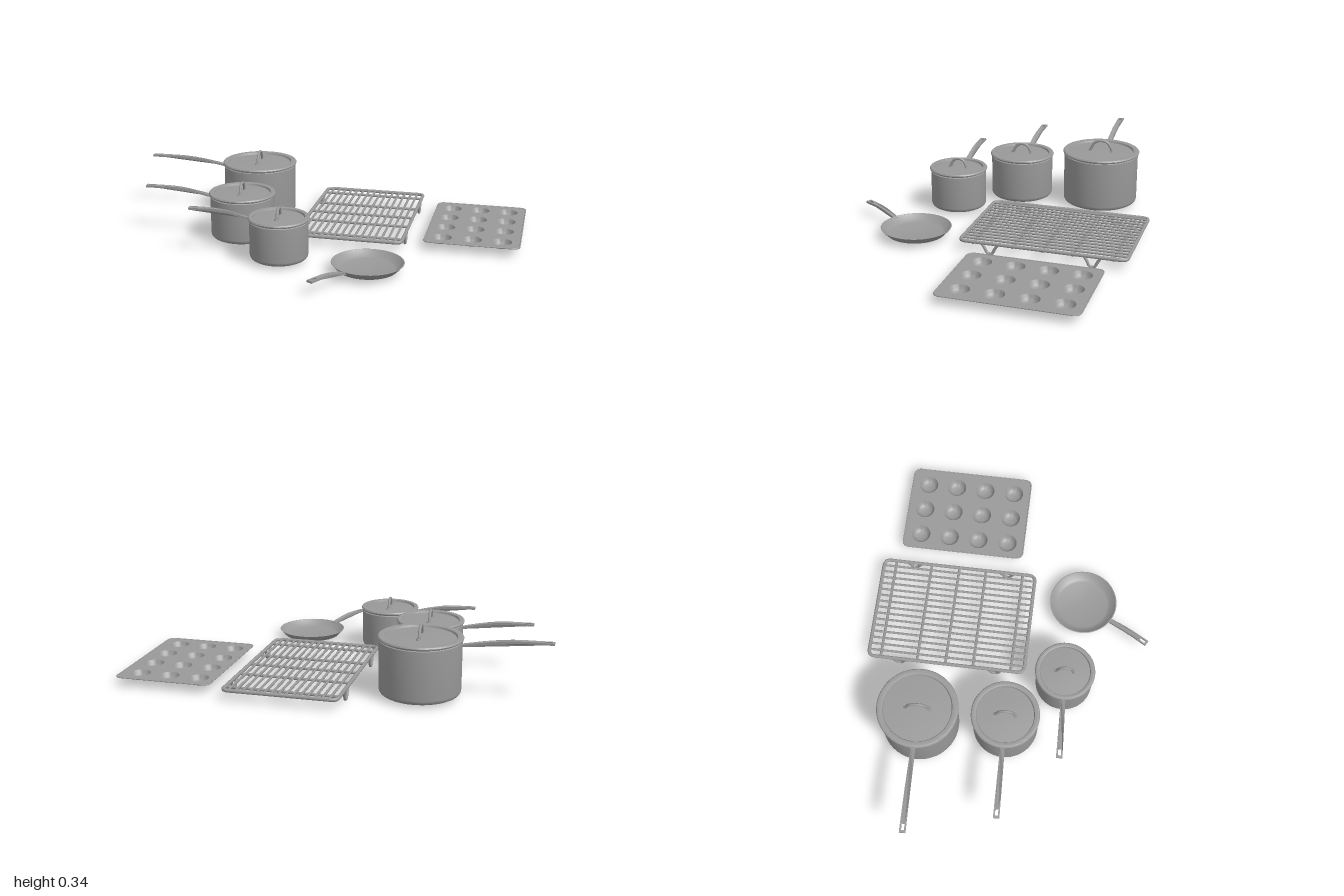
import * as THREE from 'three';
import { toCreasedNormals } from 'three/addons/utils/BufferGeometryUtils.js';

const steel = new THREE.MeshStandardMaterial({ color: 0x999999, side: THREE.DoubleSide });
steel.name = 'brushed steel';

function add(parent, geometry, name) {
  const mesh = new THREE.Mesh(geometry, steel);
  mesh.name = name;
  parent.add(mesh);
  return mesh;
}

// Turned part from [radius, height] pairs, with crisp edges kept
function lathe(points, segments = 48) {
  const g = new THREE.LatheGeometry(points.map(([r, y]) => new THREE.Vector2(r, y)), segments);
  return toCreasedNormals(g, 0.6);
}

function roundedRect(x0, z0, x1, z1, r) {
  const s = new THREE.Shape();
  s.moveTo(x0 + r, z0);
  s.lineTo(x1 - r, z0);
  s.absarc(x1 - r, z0 + r, r, -Math.PI / 2, 0);
  s.lineTo(x1, z1 - r);
  s.absarc(x1 - r, z1 - r, r, 0, Math.PI / 2);
  s.lineTo(x0 + r, z1);
  s.absarc(x0 + r, z1 - r, r, Math.PI / 2, Math.PI);
  s.lineTo(x0, z0 + r);
  s.absarc(x0 + r, z0 + r, r, Math.PI, Math.PI * 1.5);
  return s;
}

// Closed wire following a rounded rectangle at height y
function wireLoop(shape, y, radius) {
  const pts = shape.getSpacedPoints(120).slice(0, -1).map(p => new THREE.Vector3(p.x, y, p.y));
  return new THREE.TubeGeometry(new THREE.CatmullRomCurve3(pts, true), 160, radius, 8, true);
}

// Flat strap handle with a hanging hole, bent upwards along its length
function strapHandle(length, rise, dirX, dirZ) {
  const n = 16, half = t => 0.011 + 0.004 * t;
  const shape = new THREE.Shape();
  shape.moveTo(0, -half(0));
  for (let i = 1; i <= n; i++) shape.lineTo(length * i / n, -half(i / n));
  for (let i = n; i >= 0; i--) shape.lineTo(length * i / n, half(i / n));
  const hole = new THREE.Path();
  const a = length - 0.042, b = length - 0.012;
  hole.moveTo(a, -0.007);
  hole.lineTo(a, 0.007);
  hole.lineTo(b, 0.007);
  hole.lineTo(b, -0.007);
  hole.closePath();
  shape.holes.push(hole);
  const g = new THREE.ExtrudeGeometry(shape, { depth: 0.01, bevelEnabled: false });
  g.rotateX(-Math.PI / 2);
  const p = g.attributes.position;
  for (let i = 0; i < p.count; i++) {
    const t = Math.min(1, p.getX(i) / (length * 0.7));
    p.setY(i, p.getY(i) + rise * Math.sin(t * Math.PI / 2));
  }
  g.computeVertexNormals();
  g.rotateY(Math.atan2(-dirZ, dirX));
  return g;
}

// Lidded saucepan: body, lid with recessed centre, arched grip, long handle
function saucepan({ name, x, z, r, top, tipX, tipZ, tipY }) {
  const pot = new THREE.Group();
  pot.name = name;
  pot.position.set(x, 0, z);
  const b = 0.013, c = 0.022;
  const body = [[0, b], [r - c, b]];
  for (let i = 1; i <= 5; i++) {
    const a = i / 5 * Math.PI / 2;
    body.push([r - 0.005 - c + c * Math.sin(a), b + c - c * Math.cos(a)]);
  }
  body.push([r - 0.005, top - 0.022], [r - 0.012, top - 0.018]);
  add(pot, lathe(body), 'potBody');

  const seat = top - 0.012;
  add(pot, lathe([
    [r - 0.012, top - 0.02], [r, top - 0.014], [r + 0.002, top - 0.008], [r - 0.002, top - 0.002],
    [r - 0.01, top], [r * 0.86, top - 0.003], [r * 0.84, seat],
    [r * 0.5, seat + 0.003], [0, seat + 0.005],
  ]), 'lid');

  // Arched lid grip running front to back
  const w = r * 0.3, h = 0.025 + r * 0.17;
  const pts = [[-w, 0], [-w * 0.85, 0.4], [-w * 0.5, 0.88], [0, 1], [w * 0.5, 0.88], [w * 0.85, 0.4], [w, 0]]
    .map(([q, k]) => new THREE.Vector3(0, seat + k * h, q));
  const grip = new THREE.TubeGeometry(new THREE.CatmullRomCurve3(pts), 28, 0.007, 8);
  add(pot, grip, 'lidGrip').rotation.y = 0.06;
  for (const s of [-1, 1]) {
    const foot = add(pot, new THREE.CylinderGeometry(0.009, 0.011, 0.008, 12), 'gripFoot');
    foot.position.set(0, seat + 0.006, s * w);
  }

  const dx = tipX - x, dz = tipZ - z, d = Math.hypot(dx, dz), start = r - 0.012;
  const rise = 0.035;
  const handle = add(pot, strapHandle(d - start, rise, dx, dz), 'potHandle');
  handle.position.set(dx / d * start, tipY - rise - 0.005, dz / d * start);
  return pot;
}

function fryingPan() {
  const pan = new THREE.Group();
  pan.name = 'fryingPan';
  const x = 0.325, z = 0.355, dx = -0.195, dz = 0.34, d = Math.hypot(dx, dz);
  pan.position.set(x, 0, z);
  add(pan, lathe([
    [0, 0.014], [0.128, 0.014], [0.139, 0.018], [0.165, 0.044], [0.171, 0.051],
    [0.167, 0.052], [0.16, 0.045], [0.136, 0.023], [0.126, 0.02], [0, 0.02],
  ]), 'panBody');
  const handle = add(pan, strapHandle(d - 0.16, 0.027, dx, dz), 'panHandle');
  handle.position.set(dx / d * 0.16, 0.037, dz / d * 0.16);
  return pan;
}

function coolingRack() {
  const rack = new THREE.Group();
  rack.name = 'coolingRack';
  const x0 = -0.097, x1 = 0.437, z0 = -0.697, z1 = 0.093, y = 0.057;
  add(rack, wireLoop(roundedRect(x0, z0, x1, z1, 0.025), y, 0.009), 'rackFrame');

  // Long wires
  const count = 16;
  for (let i = 1; i < count; i++) {
    const wire = add(rack, new THREE.CylinderGeometry(0.006, 0.006, z1 - z0, 8).rotateX(Math.PI / 2), 'longWire');
    wire.position.set(x0 + (x1 - x0) * i / count, y + 0.004, (z0 + z1) / 2);
  }
  // Cross bars beneath them
  for (const z of [-0.635, -0.45, -0.305, -0.165, 0.027]) {
    const bar = add(rack, new THREE.CylinderGeometry(0.007, 0.007, x1 - x0, 8).rotateZ(Math.PI / 2), 'crossBar');
    bar.position.set((x0 + x1) / 2, y - 0.006, z);
  }
  // Bent wire feet on both long sides
  for (const x of [x0, x1]) for (const z of [-0.54, -0.055]) {
    const pts = [[-0.04, y], [-0.026, 0.035], [-0.012, 0.01], [0, 0.007], [0.012, 0.01], [0.026, 0.035], [0.04, y]]
      .map(([q, h]) => new THREE.Vector3(x, h, z + q));
    add(rack, new THREE.TubeGeometry(new THREE.CatmullRomCurve3(pts), 24, 0.007, 8), 'rackFoot');
  }
  return rack;
}

function muffinTin() {
  const tin = new THREE.Group();
  tin.name = 'muffinTin';
  const y = 0.044, r = 0.049;
  const outline = () => roundedRect(0.533, -0.622, 0.997, 0.012, 0.03);
  const sheet = outline();
  for (const x of [0.615, 0.762, 0.908]) for (const z of [-0.535, -0.383, -0.23, -0.075]) {
    const hole = new THREE.Path();
    hole.absarc(x, z, r, 0, Math.PI * 2, true);
    sheet.holes.push(hole);
    // Rounded cup hanging below the sheet
    const cup = add(tin, lathe([
      [0, 0.014], [0.022, 0.015], [0.03, 0.018], [0.037, 0.024], [0.043, 0.032], [0.047, 0.04], [r, y],
    ], 32), 'muffinCup');
    cup.position.set(x, 0, z);
  }
  const plate = new THREE.ShapeGeometry(sheet, 16).rotateX(Math.PI / 2);
  // Turn the sheet's faces upwards
  const idx = plate.index.array;
  for (let i = 0; i < idx.length; i += 3) [idx[i], idx[i + 1]] = [idx[i + 1], idx[i]];
  plate.computeVertexNormals();
  add(tin, plate, 'tinSheet').position.y = y;
  add(tin, wireLoop(outline(), y, 0.003), 'tinRim');
  return tin;
}

export function createModel() {
  const model = new THREE.Group();
  model.name = 'cookwareSet';
  model.add(
    saucepan({ name: 'largeSaucepan', x: -0.405, z: -0.382, r: 0.194, top: 0.286, tipX: -1, tipZ: -0.362, tipY: 0.283 }),
    saucepan({ name: 'mediumSaucepan', x: -0.375, z: 0.035, r: 0.164, top: 0.244, tipX: -0.875, tipZ: 0.053, tipY: 0.242 }),
    saucepan({ name: 'smallSaucepan', x: -0.115, z: 0.297, r: 0.145, top: 0.221, tipX: -0.555, tipZ: 0.312, tipY: 0.232 }),
    fryingPan(), coolingRack(), muffinTin(),
  );
  return model;
}
